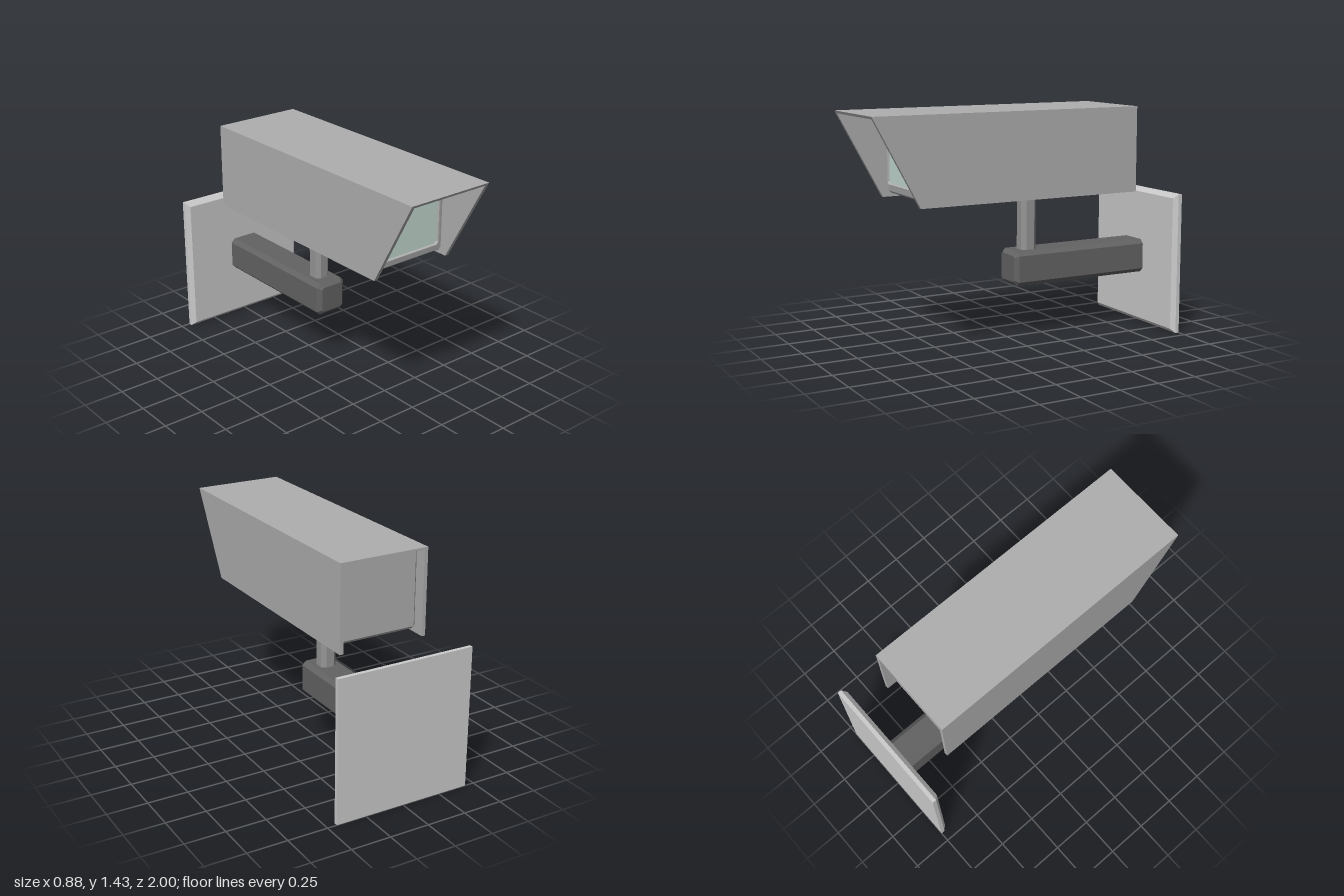
import * as THREE from 'three';

const mat = (color) => new THREE.MeshStandardMaterial({ color, flatShading: true });

// Rectangle outline with cut corners (c = 0 gives a plain rectangle), counter-clockwise from +z
function outline([w, h, c, z]) {
  const pts = c > 0
    ? [[-w + c, -h], [w - c, -h], [w, -h + c], [w, h - c], [w - c, h], [-w + c, h], [-w, h - c], [-w, -h + c]]
    : [[-w, -h], [w, -h], [w, h], [-w, h]];
  return pts.map(([x, y]) => new THREE.Vector3(x, y, z));
}

// Skin a series of [halfWidth, halfHeight, cornerCut, z] sections and cap both ends
function loft(sections) {
  const rings = sections.map(outline);
  const n = rings[0].length;
  const tris = [];
  for (let i = 0; i < rings.length - 1; i++) {
    for (let j = 0; j < n; j++) {
      const k = (j + 1) % n;
      const [a, b, c, d] = [rings[i][j], rings[i][k], rings[i + 1][k], rings[i + 1][j]];
      tris.push(a, b, c, a, c, d);
    }
  }
  const first = rings[0], last = rings[rings.length - 1];
  for (let j = 1; j < n - 1; j++) {
    tris.push(first[0], first[j + 1], first[j], last[0], last[j], last[j + 1]);
  }
  const geo = new THREE.BufferGeometry().setFromPoints(tris);
  geo.computeVertexNormals();
  return geo;
}

export function createModel() {
  const model = new THREE.Group();
  const add = (name, geo, color, x = 0, y = 0, z = 0) => {
    const mesh = new THREE.Mesh(geo, mat(color));
    mesh.name = name;
    mesh.position.set(x, y, z);
    model.add(mesh);
    return mesh;
  };

  // Wall plate with bevelled front edge
  add('wallPlate', loft([
    [0.44, 0.4425, 0, -1],
    [0.44, 0.4425, 0, -0.975],
    [0.415, 0.4175, 0, -0.95],
  ]), 0xcccccc, 0, 0.4425);

  // Horizontal arm, chamfered along its length and at the front end
  add('arm', loft([
    [0.105, 0.107, 0.025, -0.96],
    [0.105, 0.107, 0.025, -0.03],
    [0.08, 0.082, 0.012, -0.005],
  ]), 0x636363, 0, 0.443);

  // Upright post between arm and camera body
  const post = loft([
    [0.051, 0.052, 0.024, 0.53],
    [0.051, 0.052, 0.024, 0.95],
  ]);
  post.rotateX(-Math.PI / 2);
  add('post', post, 0x959595, 0, 0, -0.137);

  // Camera body, ending in a raised window frame
  add('cameraBody', loft([
    [0.245, 0.227, 0.008, -0.7],
    [0.265, 0.247, 0.02, -0.68],
    [0.265, 0.247, 0.02, 0.66],
    [0.25, 0.232, 0.012, 0.68],
    [0.222, 0.197, 0.015, 0.685],
    [0.216, 0.191, 0.015, 0.7],
    [0.208, 0.187, 0.014, 0.7],
    [0.202, 0.182, 0.012, 0.685],
  ]), 0xaeaeae, 0, 1.172);

  // Window glass, set slightly back in the frame
  add('glass', loft([
    [0.2, 0.18, 0.01, 0.68],
    [0.2, 0.18, 0.01, 0.69],
  ]), 0xc2d9cf, 0, 1.172);

  // Sun hood: a channel open below, its front end raked back
  const W = 0.284, TOP = 1.43, BOTTOM = 0.9, T = 0.023;
  const section = new THREE.Shape([
    [-W, BOTTOM], [-W + T, BOTTOM], [-W + T, TOP - 0.016], [W - T, TOP - 0.016],
    [W - T, BOTTOM], [W, BOTTOM], [W, TOP], [-W, TOP],
  ].map(([x, y]) => new THREE.Vector2(x, y)));
  const hood = new THREE.ExtrudeGeometry(section, { depth: 1.76, bevelEnabled: false });
  hood.translate(0, 0, -0.76);
  const p = hood.attributes.position;
  for (let i = 0; i < p.count; i++) {
    if (p.getZ(i) > 0) p.setZ(i, 1 - (TOP - p.getY(i)) * (0.29 / (TOP - BOTTOM)));
  }
  hood.computeVertexNormals();
  add('sunHood', hood, 0xaeaeae);

  return model;
}
